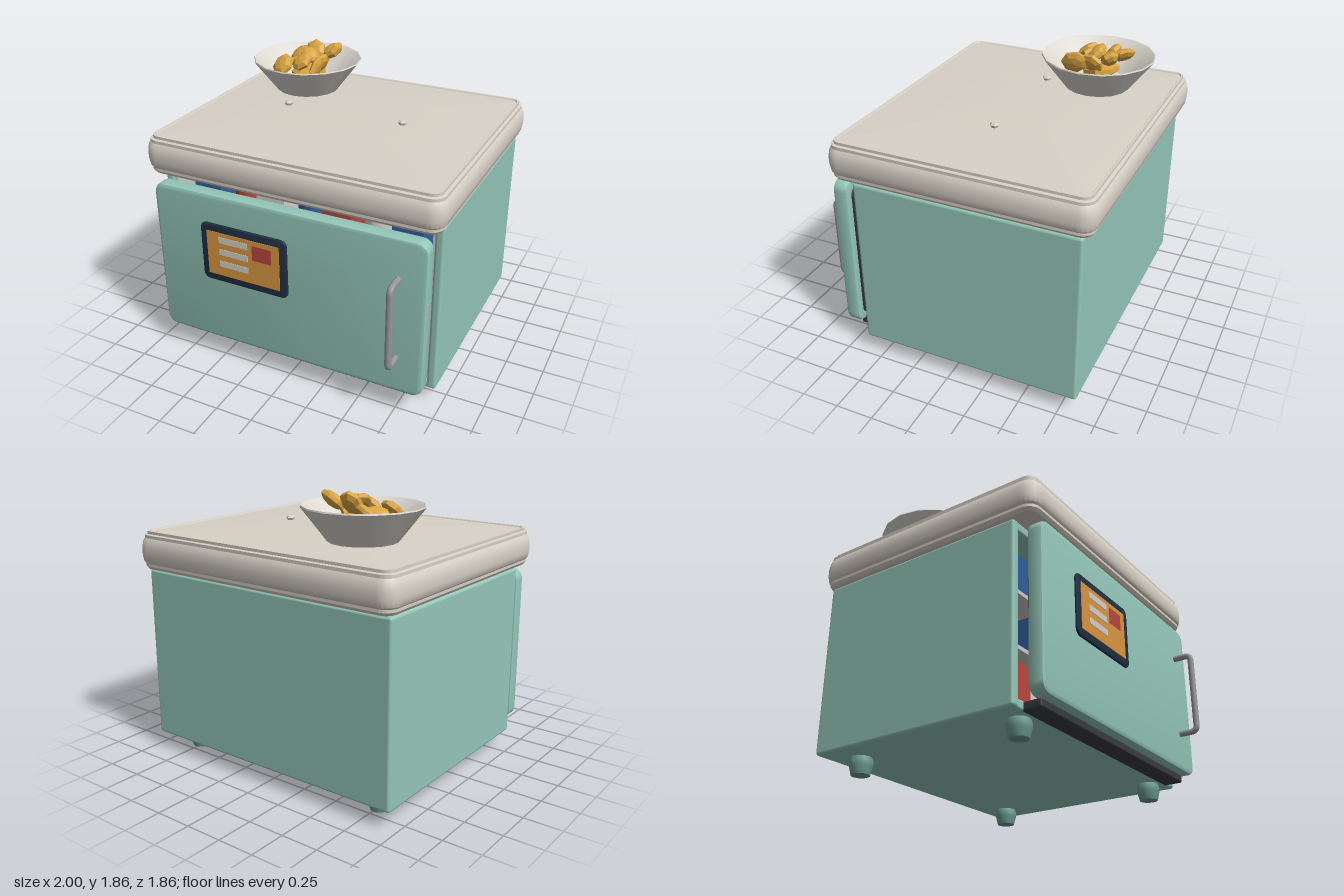
import * as THREE from 'three';
import { toCreasedNormals } from 'three/addons/utils/BufferGeometryUtils.js';
import { RoundedBoxGeometry } from 'three/addons/geometries/RoundedBoxGeometry.js';

const mat = (color, extra = {}) => new THREE.MeshStandardMaterial({ color, ...extra });
const teal = mat(0x94c6b9), foot = mat(0x6a9a8d), cream = mat(0xd8d1c6), dark = mat(0x3a3b40);
const navy = mat(0x223044), amber = mat(0xd8953f), red = mat(0xb8463e), white = mat(0xd4d0c8);
const steel = mat(0x98989c), blue = mat(0x2f5f9a), liner = mat(0xdadad6);
const bowlMat = mat(0xdedad2), snack = mat(0xd9a441, { flatShading: true });

function add(parent, name, geometry, material, x = 0, y = 0, z = 0) {
  const mesh = new THREE.Mesh(geometry, material);
  mesh.name = name;
  mesh.position.set(x, y, z);
  parent.add(mesh);
  return mesh;
}

// Box given by its minimum and maximum corners, with optional bevel
function block(parent, name, material, [x0, y0, z0], [x1, y1, z1], bevel = 0) {
  const size = [x1 - x0, y1 - y0, z1 - z0];
  const geo = bevel ? new RoundedBoxGeometry(...size, 2, bevel) : new THREE.BoxGeometry(...size);
  return add(parent, name, geo, material, (x0 + x1) / 2, (y0 + y1) / 2, (z0 + z1) / 2);
}

// Rounded plate in the xy plane, from z0 to z1, with bevelled rims
function plate(parent, name, material, x0, y0, x1, y1, z0, z1, r, bevel) {
  const s = new THREE.Shape();
  const a = x0 + bevel, b = y0 + bevel, c = x1 - bevel, d = y1 - bevel;
  s.moveTo(a + r, b);
  s.lineTo(c - r, b);
  s.absarc(c - r, b + r, r, -Math.PI / 2, 0);
  s.absarc(c - r, d - r, r, 0, Math.PI / 2);
  s.absarc(a + r, d - r, r, Math.PI / 2, Math.PI);
  s.absarc(a + r, b + r, r, Math.PI, Math.PI * 1.5);
  const geo = new THREE.ExtrudeGeometry(s, {
    depth: z1 - z0 - 2 * bevel, bevelThickness: bevel, bevelSize: bevel, bevelSegments: 2, curveSegments: 5,
  });
  return add(parent, name, toCreasedNormals(geo, 0.6), material, 0, 0, z0 + bevel);
}

// Stacked rounded-rectangle rings [inset, y, scale]
function loft(hx, hz, radius, rings) {
  const pos = [], idx = [], steps = 5, n = 4 * (steps + 1);
  for (const [inset, y, scale = 1] of rings) {
    const r = Math.max(0.015, radius - inset);
    for (let c = 0; c < 4; c++) for (let k = 0; k <= steps; k++) {
      const t = (c + k / steps) * Math.PI / 2;
      const sx = c === 0 || c === 3 ? 1 : -1, sz = c < 2 ? 1 : -1;
      pos.push((sx * (hx - inset - r) + r * Math.cos(t)) * scale, y,
        (sz * (hz - inset - r) + r * Math.sin(t)) * scale);
    }
  }
  for (let i = 0; i < rings.length - 1; i++) for (let j = 0; j < n; j++) {
    const a = i * n + j, b = i * n + (j + 1) % n;
    idx.push(a, a + n, b, b, a + n, b + n);
  }
  const geo = new THREE.BufferGeometry();
  geo.setAttribute('position', new THREE.Float32BufferAttribute(pos, 3));
  geo.setIndex(idx);
  return toCreasedNormals(geo, 0.6);
}

function lathe(points, sides) {
  return toCreasedNormals(new THREE.LatheGeometry(points.map(p => new THREE.Vector2(...p)), sides), 0.7);
}

function buildCabinet(root) {
  const g = new THREE.Group();
  g.name = 'cabinet';
  root.add(g);
  // Hollow shell, open at the front
  for (const s of [-1, 1]) {
    const xs = [s * 0.96, s * 0.9].sort((a, b) => a - b);
    block(g, 'sideWall', teal, [xs[0], 0.11, -0.86], [xs[1], 1.27, 0.62], 0.02);
    const li = [s * 0.9, s * 0.885].sort((a, b) => a - b);
    block(g, 'sideLiner', liner, [li[0], 0.17, -0.8], [li[1], 1.21, 0.6]);
  }
  block(g, 'floorPanel', teal, [-0.95, 0.11, -0.855], [0.95, 0.17, 0.615], 0.015);
  block(g, 'roofPanel', teal, [-0.95, 1.21, -0.855], [0.95, 1.27, 0.615], 0.015);
  block(g, 'backPanel', teal, [-0.95, 0.115, -0.86], [0.95, 1.265, -0.8], 0.015);
  block(g, 'backLiner', liner, [-0.89, 0.17, -0.8], [0.89, 1.21, -0.785]);
  block(g, 'kickStrip', dark, [-0.855, 0.11, 0.6], [0.855, 0.165, 0.73], 0.012);
  // Shelves and stored goods
  for (const y of [0.5, 0.85]) block(g, 'shelf', liner, [-0.885, y, -0.78], [0.885, y + 0.025, 0.56]);
  const goods = [red, white, blue];
  [0.17, 0.525, 0.875].forEach((y, row) => {
    for (let i = 0; i < 7; i++) {
      const x = -0.72 + i * 0.235, m = goods[(i + row) % 3];
      if ((i + row) % 2) add(g, 'can', new THREE.CylinderGeometry(0.085, 0.085, 0.24, 14), m, x, y + 0.12, 0.38);
      else block(g, 'carton', m, [x - 0.1, y, 0.2], [x + 0.1, y + 0.3, 0.5]);
    }
  });
  // Feet
  const footGeo = lathe([[0, 0], [0.06, 0], [0.074, 0.055], [0.076, 0.085], [0.066, 0.115], [0, 0.115]], 12);
  for (const x of [-0.76, 0.76]) for (const z of [-0.66, 0.52]) add(g, 'foot', footGeo, foot, x, 0, z);
}

function buildDoor(root) {
  const g = new THREE.Group();
  g.name = 'door';
  root.add(g);
  plate(g, 'doorPanel', teal, -0.93, 0.16, 0.93, 1.23, 0.69, 0.79, 0.05, 0.02);
  plate(g, 'doorGasket', dark, -0.88, 0.21, 0.88, 1.17, 0.66, 0.7, 0.04, 0.01);
  // Display
  plate(g, 'displayFrame', navy, -0.585, 0.625, 0.03, 1.035, 0.78, 0.805, 0.035, 0.008);
  block(g, 'displayScreen', amber, [-0.54, 0.675, 0.795], [-0.02, 0.985, 0.808]);
  for (const y of [0.742, 0.828, 0.914]) block(g, 'displayBar', white, [-0.452, y, 0.8], [-0.243, y + 0.042, 0.811]);
  block(g, 'displayBlock', red, [-0.21, 0.848, 0.8], [-0.075, 0.952, 0.811]);
  // Handle
  const path = new THREE.CurvePath(), v = (y, z) => new THREE.Vector3(0.755, y, z);
  path.add(new THREE.LineCurve3(v(0.415, 0.78), v(0.415, 0.87)));
  path.add(new THREE.QuadraticBezierCurve3(v(0.415, 0.87), v(0.415, 0.91), v(0.455, 0.91)));
  path.add(new THREE.LineCurve3(v(0.455, 0.91), v(0.93, 0.91)));
  path.add(new THREE.QuadraticBezierCurve3(v(0.93, 0.91), v(0.97, 0.91), v(0.97, 0.87)));
  path.add(new THREE.LineCurve3(v(0.97, 0.87), v(0.97, 0.78)));
  add(g, 'handle', new THREE.TubeGeometry(path, 64, 0.021, 10), steel);
}

function buildTop(root) {
  // Padded slab with a thin rim and a slightly domed surface
  const geo = loft(1, 0.858, 0.1, [
    [0.06, 1.275, 0], [0.06, 1.275], [0.035, 1.28], [0.02, 1.3], [0.02, 1.318], [0.008, 1.33], [0, 1.37],
    [0, 1.42], [0.008, 1.465], [0.022, 1.485], [0.022, 1.505], [0.04, 1.51], [0.04, 1.528], [0.055, 1.528],
    [0.06, 1.52], [0.06, 1.533, 0.75], [0.06, 1.547, 0.35], [0.06, 1.552, 0],
  ]);
  add(root, 'topSlab', geo, cream, 0, 0, -0.072);
  const bolt = lathe([[0, -0.02], [0.02, -0.02], [0.03, 0], [0.02, 0.012], [0, 0.015]], 6);
  for (const x of [-0.415, 0.41]) add(root, 'bolt', bolt, cream, x, 1.56, -0.07);
}

function buildBowl(root) {
  const g = new THREE.Group();
  g.name = 'snackBowl';
  g.position.set(-0.452, 0, -0.418);
  root.add(g);
  add(g, 'bowl', lathe([[0, 1.555], [0.215, 1.555], [0.375, 1.763], [0.372, 1.772], [0.362, 1.768],
    [0.205, 1.58], [0, 1.575]], 16), bowlMat);
  // Faceted flattened pieces: x, y, z, width, thickness, depth, tilt x, yaw, tilt z
  const disc = new THREE.SphereGeometry(1, 7, 5);
  const pieces = [
    [-0.13, 1.74, -0.13, 0.085, 0.035, 0.085, 0.3, 0.4, 0.5],
    [0.01, 1.79, -0.1, 0.08, 0.04, 0.085, 1.0, 0.3, 0],
    [0.13, 1.80, -0.12, 0.09, 0.04, 0.06, 0.5, 0.4, 0.4],
    [-0.1, 1.73, 0.0, 0.08, 0.03, 0.06, -0.4, 0.3, 0.3],
    [-0.13, 1.73, 0.12, 0.085, 0.04, 0.09, 0.7, 0.2, 0.3],
    [0.0, 1.76, 0.08, 0.08, 0.035, 0.06, 0.7, 0.7, 0.2],
    [0.1, 1.74, 0.01, 0.08, 0.035, 0.085, 0.1, -0.3, 1.1],
    [0.125, 1.74, 0.12, 0.08, 0.03, 0.095, 0.2, 0.05, 1.3],
    [0.02, 1.79, 0.0, 0.08, 0.035, 0.06, 0.3, -0.4, -0.4],
    [0.0, 1.67, -0.02, 0.13, 0.05, 0.13, 0.1, 0.5, 0.1],
  ];
  for (const [x, y, z, w, t, d, rx, ry, rz] of pieces) {
    const m = add(g, 'snackPiece', disc, snack, x, y, z);
    m.scale.set(w, t, d);
    m.rotation.set(rx, ry, rz);
  }
}

export function createModel() {
  const root = new THREE.Group();
  root.name = 'compactFridge';
  buildCabinet(root);
  buildDoor(root);
  buildTop(root);
  buildBowl(root);
  return root;
}
